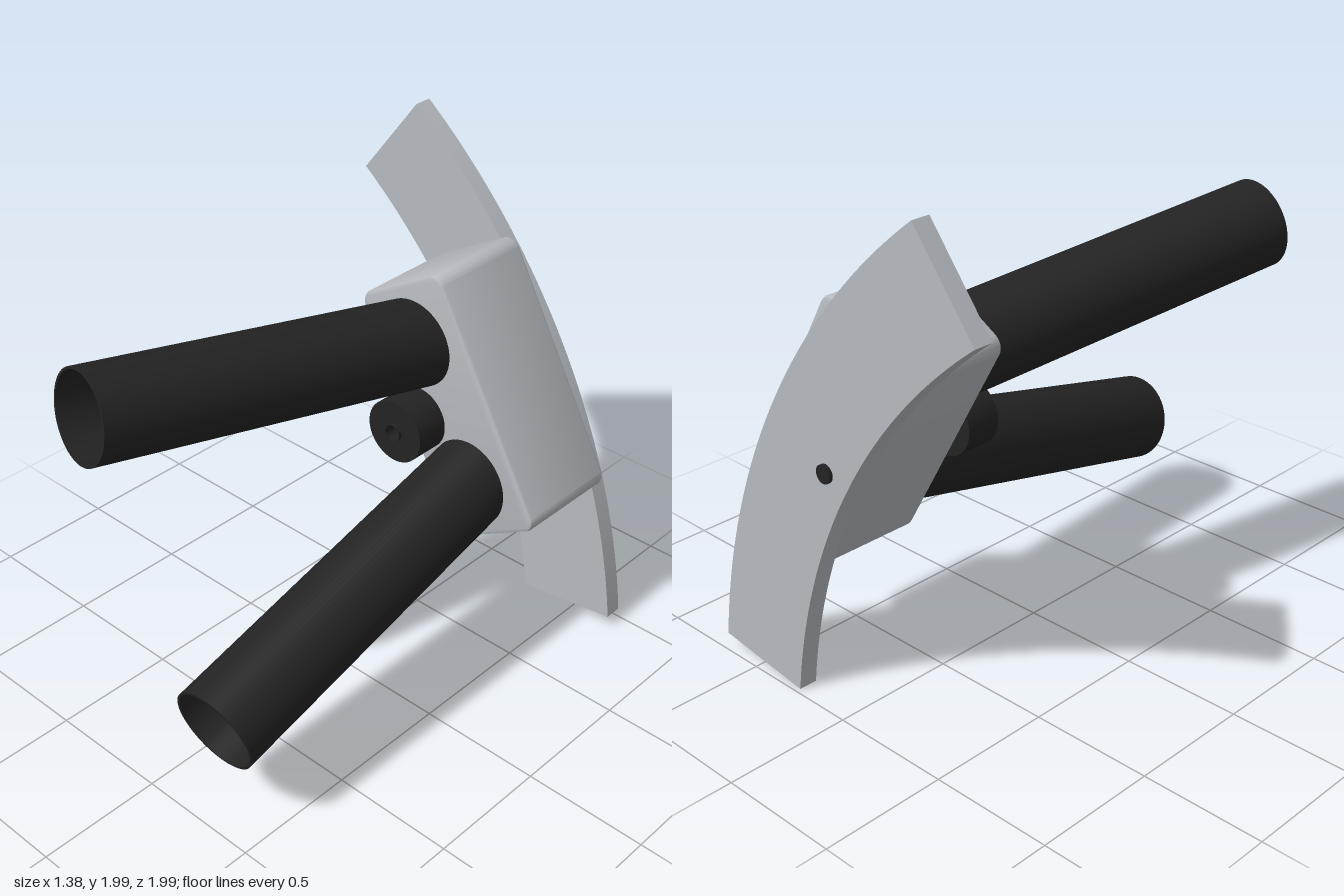
import * as THREE from 'three';
import { toCreasedNormals } from 'three/addons/utils/BufferGeometryUtils.js';

const steel = new THREE.MeshStandardMaterial({ color: 0xb6babf });
steel.name = 'light steel';
const black = new THREE.MeshStandardMaterial({ color: 0x232323 });
black.name = 'black plastic';

// Extrude a shape along +z, keeping edges sharp and curves smooth
function extrude(shape, depth, bevel = 0, curveSegments = 32) {
  const geo = new THREE.ExtrudeGeometry(shape, {
    depth: depth - 2 * bevel, curveSegments,
    bevelEnabled: bevel > 0, bevelThickness: bevel, bevelSize: bevel, bevelOffset: -bevel, bevelSegments: 2,
  });
  geo.translate(0, 0, bevel);
  return toCreasedNormals(geo, 0.5);
}

// Hollow cylinder running from one point to another
function pipe(name, from, to, outer, inner) {
  const a = new THREE.Vector3(...from);
  const b = new THREE.Vector3(...to);
  const ring = new THREE.Shape().absarc(0, 0, outer, 0, Math.PI * 2);
  ring.holes.push(new THREE.Path().absarc(0, 0, inner, 0, Math.PI * 2, true));
  const mesh = new THREE.Mesh(extrude(ring, a.distanceTo(b)), black);
  mesh.name = name;
  mesh.position.copy(a);
  mesh.lookAt(b);
  return mesh;
}

function roundedRect(w, h, r) {
  const s = new THREE.Shape();
  s.absarc(w / 2 - r, h / 2 - r, r, 0, Math.PI / 2);
  s.absarc(-w / 2 + r, h / 2 - r, r, Math.PI / 2, Math.PI);
  s.absarc(-w / 2 + r, -h / 2 + r, r, Math.PI, Math.PI * 1.5);
  s.absarc(w / 2 - r, -h / 2 + r, r, Math.PI * 1.5, Math.PI * 2);
  s.closePath();
  return s;
}

export function createModel() {
  const model = new THREE.Group();
  model.name = 'arcMountedTubes';

  // Curved back plate: a 45 degree slice of a wide ring
  const a0 = THREE.MathUtils.degToRad(7.5);
  const a1 = THREE.MathUtils.degToRad(52.5);
  const arc = new THREE.Shape();
  arc.absarc(0, 0, 2.922, a0, a1);
  arc.absarc(0, 0, 2.49, a1, a0, true);
  arc.closePath();
  const plate = new THREE.Mesh(extrude(arc, 0.075, 0, 48), steel);
  plate.name = 'arcPlate';
  plate.position.set(-2.206, -0.32, -0.98);
  model.add(plate);

  // Tilted housing with rounded corners
  const housing = new THREE.Mesh(extrude(roundedRect(0.45, 1.052, 0.055), 0.46, 0.015, 8), steel);
  housing.name = 'housing';
  housing.position.set(0.16, 1.05, -0.905);
  housing.rotation.z = Math.PI / 6;
  model.add(housing);

  // Two splayed open tubes
  model.add(pipe('upperTube', [-0.005, 1.278, -0.5], [-0.29, 1.475, 0.955], 0.177, 0.167));
  model.add(pipe('lowerTube', [0.279, 0.79, -0.5], [0.315, 0.44, 0.955], 0.177, 0.167));

  // Knob on a hollow spindle, with the spindle end showing behind the plate
  model.add(pipe('knob', [0.042, 0.983, -0.425], [0.042, 0.983, -0.28], 0.13, 0.035));
  model.add(pipe('spindle', [0.042, 0.983, -0.45], [0.042, 0.983, -0.265], 0.036, 0.033));
  const pin = new THREE.Mesh(new THREE.CylinderGeometry(0.036, 0.036, 0.05, 24), black);
  pin.name = 'spindleEnd';
  pin.rotation.x = Math.PI / 2;
  pin.position.set(0.042, 0.983, -0.969);
  model.add(pin);

  return model;
}
